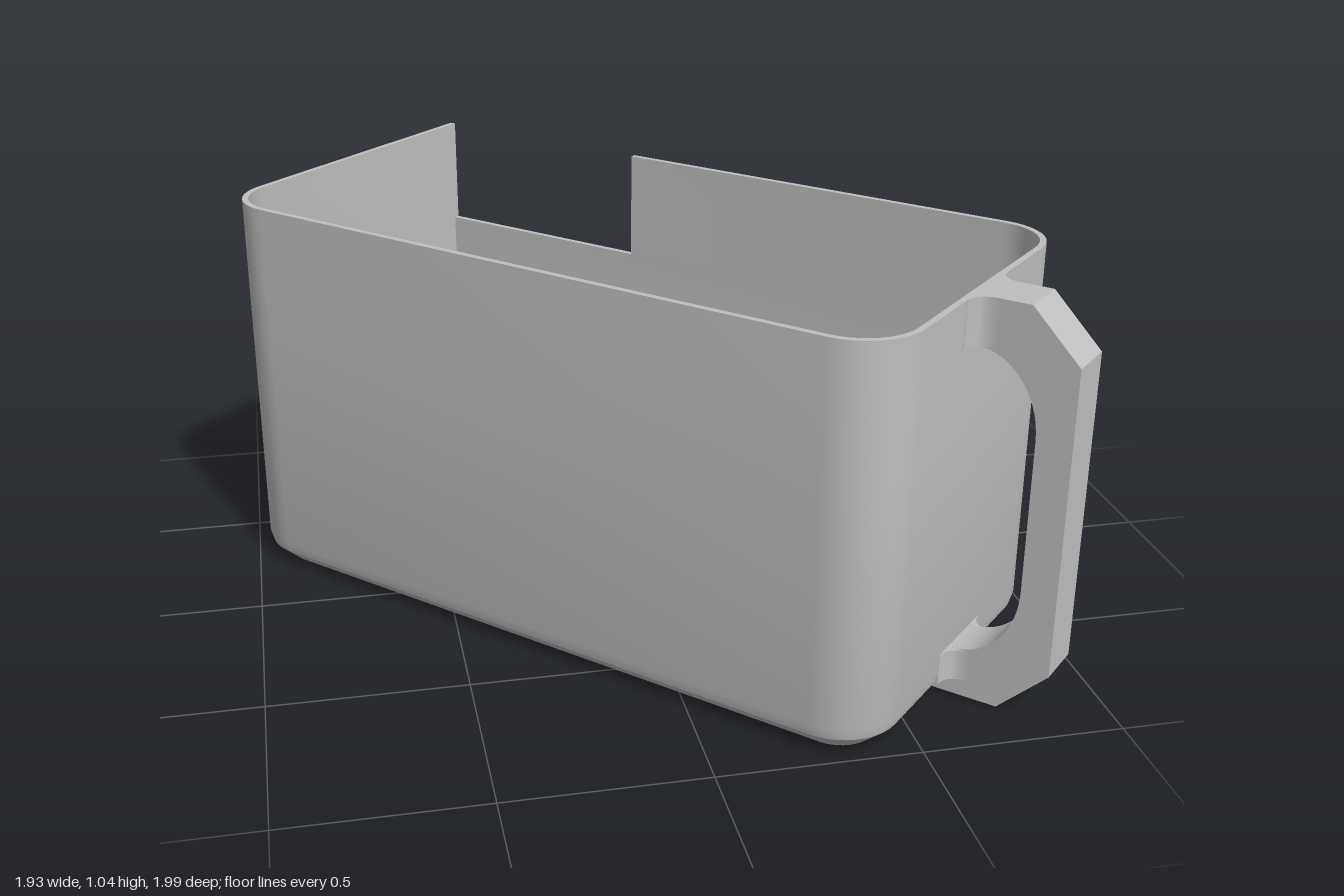
import * as THREE from 'three';
import { toCreasedNormals } from 'three/addons/utils/BufferGeometryUtils.js';

// Bin extents in its own axes (x along the bin, z across it)
const X0 = -0.947, X1 = 0.993, Z0 = -0.459, Z1 = 0.511;
const R = 0.156, WALL = 0.016, TOP = 1.04, SILL = 0.75, CUT_X = -0.283;
const MID_Z = 0.024, HALF = 0.064;

// Plan outline inset by d: one square corner, three rounded ones
function outline(d) {
  const pts = [[X0 + d, Z0 + d]];
  const corners = [[X1 - R, Z0 + R, -90], [X1 - R, Z1 - R, 0], [X0 + R, Z1 - R, 90]];
  for (const [cx, cz, start] of corners) {
    for (let i = 0; i <= 10; i++) {
      const a = THREE.MathUtils.degToRad(start + i * 9);
      pts.push([cx + (R - d) * Math.cos(a), cz + (R - d) * Math.sin(a)]);
    }
  }
  return pts;
}

// Skin through [inset, y] rings, closed by a flat cap at both ends
function loft(rings) {
  const pos = [], idx = [];
  const n = outline(0).length;
  for (const [d, y] of rings) for (const [x, z] of outline(d)) pos.push(x, y, z);
  for (let r = 0; r < rings.length - 1; r++) {
    for (let i = 0; i < n; i++) {
      const j = (i + 1) % n;
      const a = r * n + i, b = r * n + j;
      idx.push(a, a + n, b, b, a + n, b + n);
    }
  }
  const last = (rings.length - 1) * n;
  for (let i = 1; i < n - 1; i++) {
    idx.push(0, i, i + 1);
    idx.push(last, last + i + 1, last + i);
  }
  const g = new THREE.BufferGeometry();
  g.setAttribute('position', new THREE.Float32BufferAttribute(pos, 3));
  g.setIndex(idx);
  return g;
}

// Upright prism from a plan shape, reaching down from the given top
function prism(shape, top, depth) {
  const g = new THREE.ExtrudeGeometry(shape, { depth, bevelEnabled: false, curveSegments: 8 });
  return g.rotateX(Math.PI / 2).translate(0, top, 0);
}

export function createModel() {
  const model = new THREE.Group();
  const bin = new THREE.Group();
  bin.name = 'bin';
  bin.rotation.y = -Math.PI / 4;
  model.add(bin);

  const grey = new THREE.MeshStandardMaterial({ color: 0xbfbfbf });
  grey.name = 'plastic grey';

  function add(name, geometry) {
    const mesh = new THREE.Mesh(toCreasedNormals(geometry, 0.55), grey);
    mesh.name = name;
    bin.add(mesh);
  }

  // Lower tub: chamfered foot, thin walls and floor
  add('tub', loft([
    [0.062, 0], [0.008, 0.05], [0, 0.08], [0, SILL],
    [WALL, SILL], [WALL, 0.085], [0.024, 0.06], [0.077, 0.016],
  ]));

  // Upper wall, left open beside the square corner
  const inner = outline(WALL).slice(1).reverse();
  const wallPlan = [
    [CUT_X, Z0], ...outline(0).slice(1), [X0, Z0], [X0 + WALL, Z0],
    ...inner, [CUT_X, Z0 + WALL],
  ].map(([x, z]) => new THREE.Vector2(x, z));
  add('upperWall', prism(new THREE.Shape(wallPlan), TOP, TOP - SILL));

  // Handle: chamfered outside, rounded grip opening
  const h = new THREE.Shape();
  h.moveTo(0.945, 0.006);
  h.lineTo(1.127, 0.006);
  h.lineTo(1.25, 0.13);
  h.lineTo(1.25, 0.915);
  h.lineTo(1.127, TOP);
  h.lineTo(0.985, TOP);
  h.lineTo(0.985, 0.92);
  h.lineTo(1.0, 0.92);
  h.bezierCurveTo(1.09, 0.92, 1.162, 0.83, 1.162, 0.72);
  h.lineTo(1.162, 0.33);
  h.bezierCurveTo(1.162, 0.22, 1.09, 0.13, 1.0, 0.13);
  h.lineTo(0.985, 0.13);
  h.lineTo(0.985, 0.055);
  const handle = new THREE.ExtrudeGeometry(h, { depth: HALF * 2, bevelEnabled: false, curveSegments: 14 });
  add('handle', handle.translate(0, 0, MID_Z - HALF));

  // Flared roots where the handle arms meet the wall
  const f = new THREE.Shape();
  f.moveTo(0.985, MID_Z - 0.115);
  f.lineTo(0.994, MID_Z - 0.115);
  f.quadraticCurveTo(0.996, MID_Z - HALF, 1.05, MID_Z - HALF);
  f.lineTo(1.05, MID_Z + HALF);
  f.quadraticCurveTo(0.996, MID_Z + HALF, 0.994, MID_Z + 0.115);
  f.lineTo(0.985, MID_Z + 0.115);
  add('upperHandleRoot', prism(f, TOP, 0.12));
  add('lowerHandleRoot', prism(f, 0.13, 0.08));

  return model;
}
